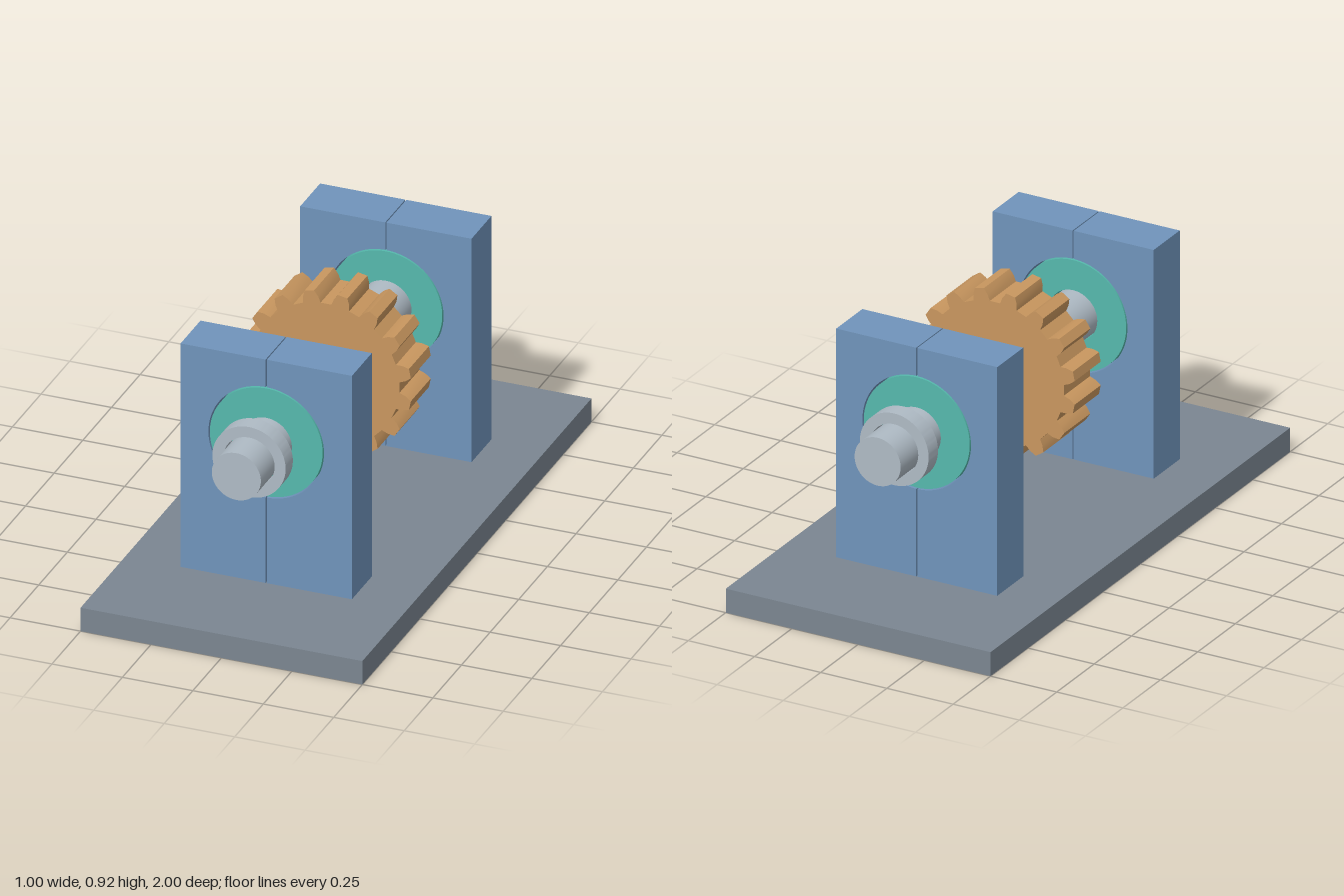
import * as THREE from 'three';
import { toCreasedNormals } from 'three/addons/utils/BufferGeometryUtils.js';

const AXIS_Y = 0.61;
const BORE = 0.091;
const SHAFT_R = 0.087;

function material(name, color) {
  const m = new THREE.MeshStandardMaterial({ color });
  m.name = name;
  return m;
}

// Extrude a profile along z, centred on z = 0, with round surfaces smoothed
function extrude(shape, depth) {
  const g = new THREE.ExtrudeGeometry(shape, { depth, bevelEnabled: false, curveSegments: 48 });
  g.translate(0, 0, -depth / 2);
  return toCreasedNormals(g, 0.3);
}

function addBore(shape, radius) {
  const hole = new THREE.Path();
  hole.absarc(0, 0, radius, 0, Math.PI * 2, true);
  shape.holes.push(hole);
  return shape;
}

function ring(outer, inner, depth) {
  const s = new THREE.Shape();
  s.absarc(0, 0, outer, 0, Math.PI * 2, false);
  return extrude(addBore(s, inner), depth);
}

// Spur gear: each tooth is a few [angle in degrees, radius] points
function gearGeometry(teeth, depth) {
  const profile = [[-7, 0.261], [-5.6, 0.283], [-3.2, 0.304], [3.2, 0.304], [5.6, 0.283], [7, 0.261]];
  const points = [];
  for (let i = 0; i < teeth; i++) {
    const centre = ((i + 0.5) * Math.PI * 2) / teeth;
    for (const [deg, r] of profile) {
      const a = centre + THREE.MathUtils.degToRad(deg);
      points.push(new THREE.Vector2(Math.cos(a) * r, Math.sin(a) * r));
    }
  }
  return extrude(addBore(new THREE.Shape(points), BORE), depth);
}

// One half of a split bearing block, with a half-round seat
function halfBlockGeometry(side) {
  const gap = 0.002, width = 0.304, seat = 0.205;
  const bottom = 0.087 - AXIS_Y, top = 0.917 - AXIS_Y;
  const a = Math.asin(gap / seat);
  const s = new THREE.Shape();
  s.moveTo(gap, bottom);
  s.lineTo(width, bottom);
  s.lineTo(width, top);
  s.lineTo(gap, top);
  s.absarc(0, 0, seat, Math.PI / 2 - a, -Math.PI / 2 + a, true);
  s.closePath();
  const g = extrude(s, 0.174);
  if (side < 0) g.rotateY(Math.PI);
  return g;
}

export function createModel() {
  const model = new THREE.Group();
  model.name = 'gearShaftAssembly';

  const baseGrey = material('base grey', 0x7b8691);
  const blockBlue = material('block blue', 0x7094bb);
  const bearingTeal = material('bearing teal', 0x56b9ad);
  const steel = material('shaft steel', 0xafbbc5);
  const bronze = material('gear bronze', 0xc9975f);

  const add = (name, geometry, mat, y, z) => {
    const mesh = new THREE.Mesh(geometry, mat);
    mesh.name = name;
    mesh.position.set(0, y, z);
    model.add(mesh);
  };

  // Base plate
  add('basePlate', new THREE.BoxGeometry(1, 0.087, 2), baseGrey, 0.0435, 0);

  // Shaft and gear
  const shaft = new THREE.CylinderGeometry(SHAFT_R, SHAFT_R, 1.74, 64);
  shaft.rotateX(Math.PI / 2);
  add('shaft', shaft, steel, AXIS_Y, 0);
  add('gear', gearGeometry(16, 0.174), bronze, AXIS_Y, 0);

  // Split blocks, bearings and collars at both ends
  const bearing = ring(0.2, BORE, 0.174);
  const collar = ring(0.13, BORE, 0.063);
  for (const [end, dir] of [['front', 1], ['back', -1]]) {
    add(end + 'BlockLeftHalf', halfBlockGeometry(1), blockBlue, AXIS_Y, dir * 0.522);
    add(end + 'BlockRightHalf', halfBlockGeometry(-1), blockBlue, AXIS_Y, dir * 0.522);
    add(end + 'Bearing', bearing, bearingTeal, AXIS_Y, dir * 0.522);
    add(end + 'Collar', collar, steel, AXIS_Y, dir * 0.728);
  }
  return model;
}
